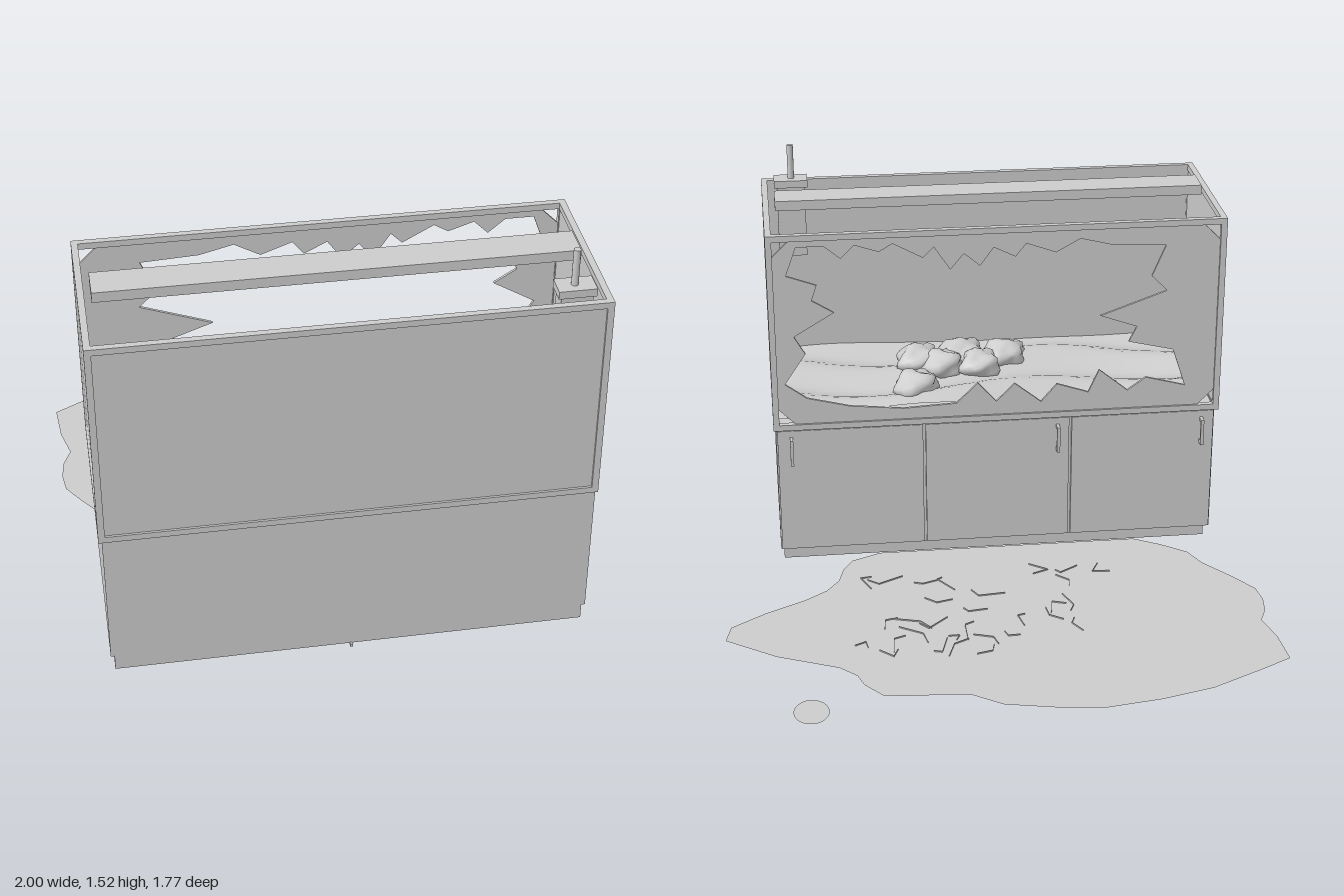
import * as THREE from 'three';
import { mergeVertices } from 'three/addons/utils/BufferGeometryUtils.js';

export function createModel() {
  const model = new THREE.Group();
  const grey = new THREE.MeshStandardMaterial({ color: 0xcccccc, side: THREE.DoubleSide });
  grey.name = 'plain grey';

  let seed = 7;
  const rand = () => (seed = (seed * 16807) % 2147483647) / 2147483647;

  const add = (name, geometry, parent = model) => {
    const mesh = new THREE.Mesh(geometry, grey);
    mesh.name = name;
    parent.add(mesh);
    return mesh;
  };
  // Box given by its lower and upper limits
  const box = (name, x0, x1, y0, y1, z0, z1, parent) => {
    const mesh = add(name, new THREE.BoxGeometry(x1 - x0, y1 - y0, z1 - z0), parent);
    mesh.position.set((x0 + x1) / 2, (y0 + y1) / 2, (z0 + z1) / 2);
    return mesh;
  };
  const group = (name) => {
    const g = new THREE.Group();
    g.name = name;
    model.add(g);
    return g;
  };
  const points = (list) => list.map(([x, y]) => new THREE.Vector2(x, y));

  // Cabinet with three doors on the back
  const cabinet = group('cabinet');
  box('plinth', -0.88, 0.77, 0.01, 0.072, 0.295, 0.87, cabinet);
  box('cabinetBody', -0.893, 0.782, 0.072, 0.584, 0.255, 0.873, cabinet);
  const doorWidth = 1.675 / 3;
  for (let i = 0; i < 3; i++) {
    const x = -0.893 + i * doorWidth;
    box('door', x + 0.005, x + doorWidth - 0.005, 0.078, 0.578, 0.241, 0.255, cabinet);
  }
  for (const x of [-0.84, -0.285, 0.725]) {
    box('handleGrip', x - 0.006, x + 0.006, 0.447, 0.552, 0.207, 0.219, cabinet);
    for (const y of [0.447, 0.54]) {
      box('handlePost', x - 0.006, x + 0.006, y, y + 0.012, 0.219, 0.241, cabinet);
    }
  }

  // Tank frame: twelve edge bars
  const tank = group('tank');
  const [X0, X1, Y0, Y1, Z0, Z1, T] = [-0.905, 0.79, 0.584, 1.358, 0.232, 0.88, 0.023];
  for (const y of [Y0, Y1 - T]) {
    for (const z of [Z0, Z1 - T]) box('frameLong', X0, X1, y, y + T, z, z + T, tank);
    for (const x of [X0, X1 - T]) box('frameShort', x, x + T, y, y + T, Z0 + T, Z1 - T, tank);
  }
  for (const x of [X0, X1 - T]) {
    for (const z of [Z0, Z1 - T]) box('framePost', x, x + T, Y0 + T, Y1 - T, z, z + T, tank);
  }

  // Whole panes and floor
  box('frontPane', X0 + T, X1 - T, Y0 + T, Y1 - T, Z1 - 0.02, Z1 - 0.008, tank);
  box('leftPane', X1 - 0.02, X1 - 0.008, Y0 + T, Y1 - T, Z0 + T, Z1 - T, tank);
  box('rightPane', X0 + 0.008, X0 + 0.02, Y0 + T, Y1 - T, Z0 + T, Z1 - T, tank);
  box('tankFloor', X0 + T, X1 - T, Y0, Y0 + 0.015, Z0 + T, Z1 - T, tank);

  // Smashed back pane: cut corners and a jagged hole
  const [a, b, c, d, k] = [X0 + T, X1 - T, Y0 + T, Y1 - T, 0.06];
  const pane = new THREE.Shape(points([
    [a + k, c], [b - k, c], [b, c + k], [b, d - k], [b - k, d], [a + k, d], [a, d - k], [a, c + k],
  ]));
  pane.holes.push(new THREE.Path(points([
    [0.68, 1.31], [0.58, 1.31], [0.52, 1.26], [0.47, 1.31], [0.38, 1.28], [0.33, 1.31], [0.22, 1.25],
    [0.18, 1.29], [0.12, 1.2], [0.07, 1.26], [0.01, 1.21], [-0.04, 1.28], [-0.12, 1.24], [-0.16, 1.29],
    [-0.27, 1.25], [-0.36, 1.3], [-0.48, 1.27], [-0.68, 1.26], [-0.63, 1.14], [-0.69, 1.08],
    [-0.44, 0.99], [-0.58, 0.94], [-0.55, 0.88], [-0.72, 0.84], [-0.77, 0.69], [-0.62, 0.73],
    [-0.55, 0.68], [-0.44, 0.77], [-0.4, 0.68], [-0.28, 0.72], [-0.22, 0.65], [-0.12, 0.73],
    [-0.05, 0.66], [0.02, 0.74], [0.1, 0.66], [0.3, 0.65], [0.5, 0.67], [0.66, 0.71], [0.74, 0.77],
    [0.66, 0.89], [0.7, 0.96], [0.55, 1.05], [0.63, 1.1], [0.61, 1.16], [0.72, 1.2],
  ])));
  add('brokenPane', new THREE.ExtrudeGeometry(pane, { depth: 0.01, bevelEnabled: false }), tank)
    .position.z = Z0 + 0.008;

  // Rippled sand bed
  const sand = new THREE.PlaneGeometry(X1 - X0 - 0.044, Z1 - Z0 - 0.044, 40, 18);
  sand.rotateX(-Math.PI / 2);
  sand.translate((X0 + X1) / 2, 0, (Z0 + Z1) / 2);
  const sandHeight = (x, z) => 0.65 + 0.018 * Math.sin(z * 22 + Math.sin(x * 5))
    + 0.012 * Math.sin(x * 6 + z * 4);
  const sp = sand.attributes.position;
  for (let i = 0; i < sp.count; i++) sp.setY(i, sandHeight(sp.getX(i), sp.getZ(i)));
  sand.computeVertexNormals();
  add('sandBed', sand, tank);

  // Lumpy rocks: x, z, radius
  const rocks = group('rocks');
  for (const [x, z, r] of [[0.24, 0.39, 0.09], [-0.13, 0.65, 0.09], [0.04, 0.67, 0.095],
    [0.21, 0.64, 0.09], [-0.02, 0.57, 0.085], [0.12, 0.58, 0.085]]) {
    let g = new THREE.IcosahedronGeometry(r, 3);
    g.deleteAttribute('normal');
    g.deleteAttribute('uv');
    g = mergeVertices(g, 1e-4);
    const p = g.attributes.position;
    const v = new THREE.Vector3();
    const phase = rand() * 6;
    for (let i = 0; i < p.count; i++) {
      v.fromBufferAttribute(p, i);
      const n = v.clone().divideScalar(r);
      v.multiplyScalar(0.93 + 0.16 * Math.sin(n.x * 4 + phase) * Math.sin(n.z * 5 + phase)
        + 0.08 * Math.sin(n.y * 6 + n.x * 3));
      p.setXYZ(i, v.x, v.y * 0.7, v.z);
    }
    g.computeVertexNormals();
    add('rock', g, rocks).position.set(x, 0.675, z);
  }

  // Lamp bar and filter on top of the tank
  box('lampBar', -0.86, 0.745, 1.36, 1.397, 0.497, 0.62);
  const filter = group('filter');
  box('filterLid', 0.615, 0.742, 1.358, 1.386, 0.757, 0.837, filter);
  box('filterBody', 0.625, 0.732, 1.08, 1.358, 0.765, 0.83, filter);
  const tube = add('filterTube', new THREE.CylinderGeometry(0.012, 0.012, 0.135, 16), filter);
  tube.position.set(0.676, 1.45, 0.797);

  // Spilled water on the ground
  const spill = new THREE.Shape(points([
    [-1, -0.65], [-0.89, -0.71], [-0.69, -0.81], [-0.5, -0.86], [-0.3, -0.89], [-0.13, -0.87],
    [0.05, -0.83], [0.15, -0.76], [0.23, -0.745], [0.37, -0.74], [0.46, -0.725], [0.52, -0.65],
    [0.54, -0.59], [0.6, -0.53], [0.82, -0.43], [1, -0.3], [0.98, -0.21], [0.85, -0.12],
    [0.7, -0.04], [0.62, 0.02], [0.57, 0.09], [0.55, 0.17], [0.51, 0.24], [0.4, 0.29],
    [-0.6, 0.29], [-0.7, 0.23], [-0.79, 0.16], [-0.83, 0.07], [-0.93, -0.06], [-0.99, -0.15],
    [-1, -0.23], [-0.99, -0.31], [-0.96, -0.38], [-0.99, -0.5],
  ].map(([x, z]) => [x, -z])));
  const puddle = add('puddle', new THREE.ShapeGeometry(spill));
  puddle.rotation.x = -Math.PI / 2;
  puddle.position.y = 0.01;
  const drop = add('puddleDrop', new THREE.CircleGeometry(1, 24));
  drop.rotation.x = -Math.PI / 2;
  drop.scale.set(0.062, 0.075, 1);
  drop.position.set(0.71, 0.01, -0.8);

  // Glass splinters scattered over the puddle, each a bent sliver
  const splinters = group('splinters');
  for (let i = 0; i < 30; i++) {
    const s = new THREE.Group();
    s.name = 'splinter';
    const l1 = 0.04 + rand() * 0.07, l2 = 0.02 + rand() * 0.05;
    box('sliver', 0, l1, -0.005, 0.005, -0.001, 0.001, s);
    const bend = new THREE.Group();
    bend.rotation.y = 1 + rand() * 1.5;
    box('sliver', 0, l2, -0.005, 0.005, -0.001, 0.001, bend);
    s.add(bend);
    s.rotation.y = rand() * 6.28;
    s.position.set(-0.4 + rand() * 0.9, 0.01, -0.5 + rand() * 0.6);
    splinters.add(s);
  }
  box('straySplinter', -0.06, -0.05, 0, 0.012, 0.86, 0.88, splinters);

  return model;
}
